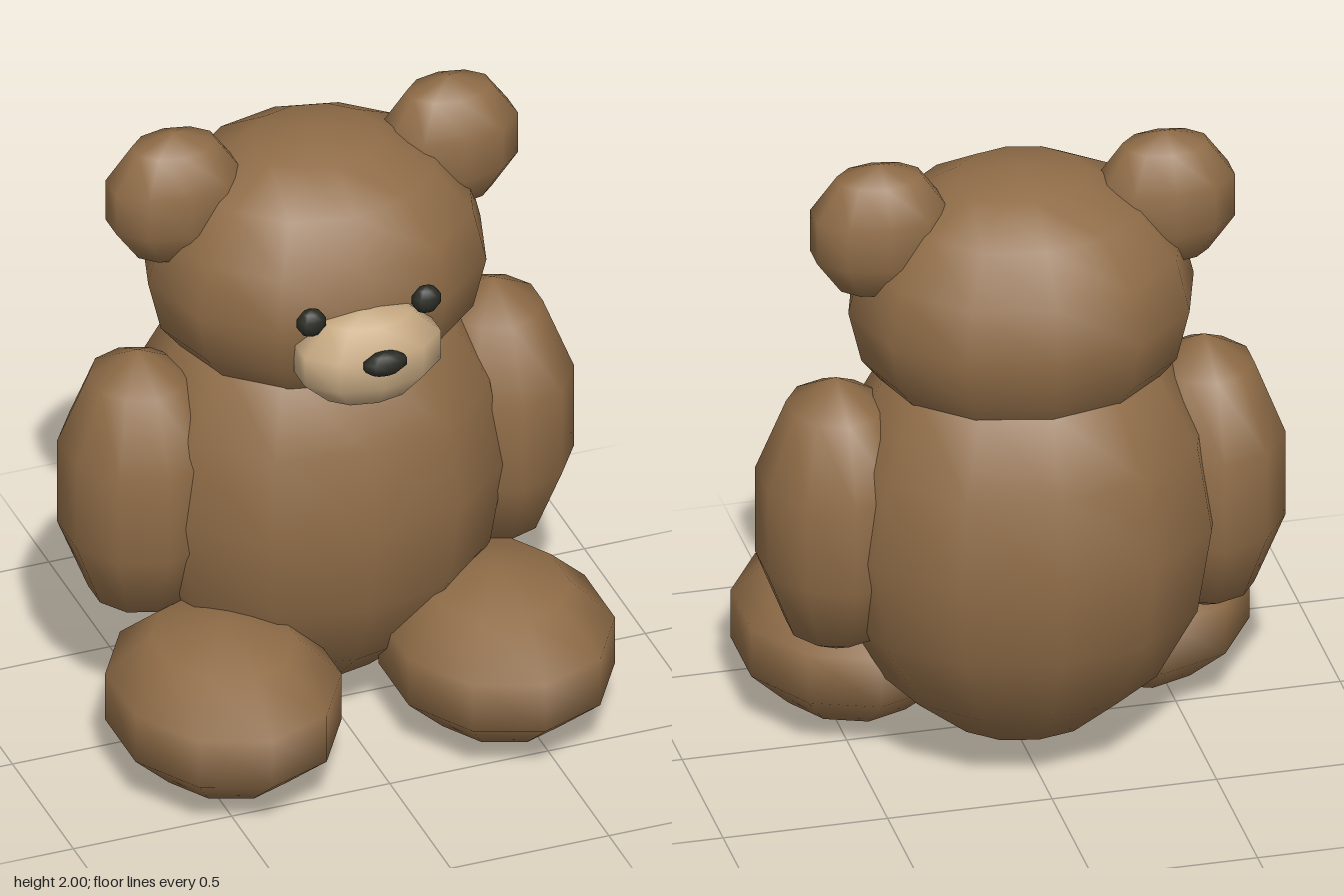
import * as THREE from 'three';

export function createModel() {
  const group = new THREE.Group();
  group.name = 'teddyBear';

  const material = (name, color) => {
    const m = new THREE.MeshStandardMaterial({ color });
    m.name = name;
    return m;
  };
  const fur = material('brownFur', 0x8f6c47);
  const cream = material('creamMuzzle', 0xc6a982);
  const black = material('blackFeatures', 0x2a2b24);

  // Smooth ellipsoid with few sides; the quarter turn points a ring corner forward
  const ellipsoid = (name, mat, [x, y, z], [rx, ry, rz], sides = 10, rows = 5) => {
    const geo = new THREE.SphereGeometry(1, sides, rows);
    geo.rotateY(Math.PI / 2);
    geo.scale(rx, ry, rz);
    const mesh = new THREE.Mesh(geo, mat);
    mesh.name = name;
    mesh.position.set(x, y, z);
    group.add(mesh);
  };

  // Body and head
  ellipsoid('body', fur, [0, 0.78, -0.14], [0.59, 0.72, 0.515], 12, 8);
  ellipsoid('head', fur, [0, 1.5, -0.12], [0.525, 0.43, 0.465], 12, 8);

  // Face
  ellipsoid('muzzle', cream, [0, 1.405, 0.317], [0.238, 0.16, 0.15]);
  ellipsoid('nose', black, [0, 1.447, 0.462], [0.072, 0.039, 0.035]);

  // Paired parts
  for (const [side, s] of [['left', 1], ['right', -1]]) {
    ellipsoid(side + 'Eye', black, [s * 0.182, 1.552, 0.328], [0.047, 0.045, 0.034]);
    ellipsoid(side + 'Ear', fur, [s * 0.435, 1.78, -0.14], [0.221, 0.22, 0.152]);
    ellipsoid(side + 'Arm', fur, [s * 0.56, 0.83, -0.11], [0.25, 0.455, 0.27]);
    ellipsoid(side + 'Leg', fur, [s * 0.432, 0.26, 0.256], [0.36, 0.258, 0.424]);
  }

  return group;
}
